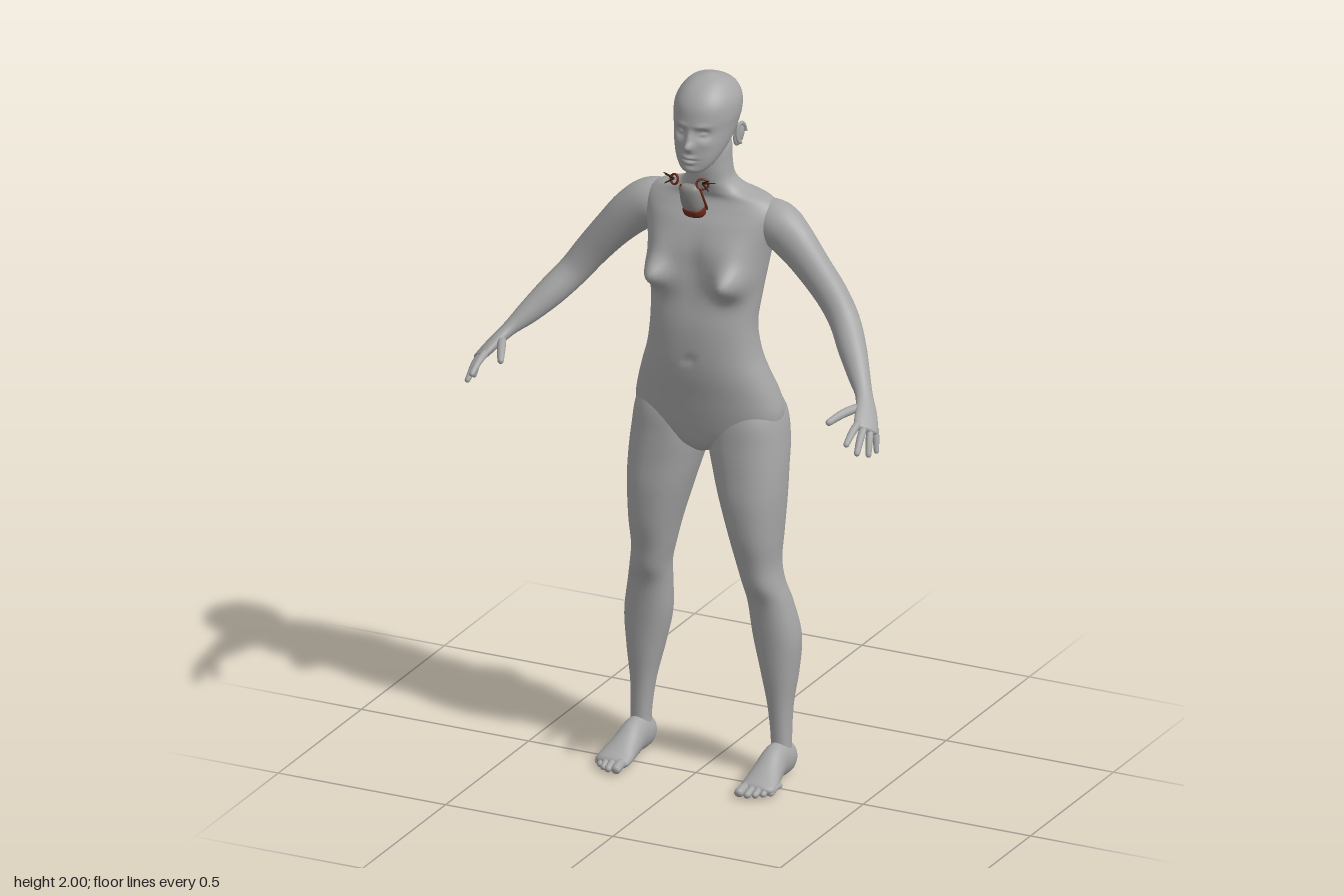
import * as THREE from 'three';

const material = (name, color) => Object.assign(new THREE.MeshStandardMaterial({ color }), { name });

// Catmull-Rom interpolation of rows of numbers, u in 0..1
function spline(rows, u) {
  const n = rows.length - 1;
  const f = Math.min(u * n, n - 1e-6);
  const i = Math.floor(f), t = f - i;
  const at = (k) => rows[Math.max(0, Math.min(n, k))];
  const [a, b, c, d] = [at(i - 1), at(i), at(i + 1), at(i + 2)];
  return b.map((v, k) => v + 0.5 * t * (c[k] - a[k]
    + t * (2 * a[k] - 5 * v + 4 * c[k] - d[k] + t * (3 * (v - c[k]) + d[k] - a[k]))));
}

// Closed skin over a grid of rings; point(u, angle) gives each vertex
function skin(point, rows, cols) {
  const pos = [], index = [];
  for (let i = 0; i <= rows; i++) {
    for (let j = 0; j < cols; j++) {
      pos.push(...point(i / rows, (j / cols) * Math.PI * 2));
      if (i === rows) continue;
      const a = i * cols + j, b = i * cols + ((j + 1) % cols);
      index.push(a, a + cols, b, b, a + cols, b + cols);
    }
  }
  const geo = new THREE.BufferGeometry();
  geo.setAttribute('position', new THREE.Float32BufferAttribute(pos, 3));
  geo.setIndex(index);
  geo.computeVertexNormals();
  return geo;
}

// Upright form: sections [y, xMin, xMax, zFront, zBack], bottom to top.
// Bumps [x, y, rx, ry, side, amount] swell the front (1) or back (-1) on both halves.
function loft(sections, bumps = [], rows = 60, cols = 40, power = 0.88) {
  const bend = (v) => Math.sign(v) * Math.abs(v) ** power;
  return skin((u, a) => {
    const [y, x0, x1, zf, zb] = spline(sections, u);
    const k = u === 0 || u === 1 ? 0 : 1;
    const x = (x0 + x1) / 2 + k * ((x1 - x0) / 2) * bend(Math.cos(a));
    let z = (zf + zb) / 2 + k * ((zf - zb) / 2) * bend(Math.sin(a));
    for (const [bx, by, rx, ry, side, amount] of bumps) {
      const w = Math.min(1, 2 * Math.max(0, side * Math.sin(a)));
      z += side * amount * w * Math.exp(-(((Math.abs(x) - bx) / rx) ** 2) - ((y - by) / ry) ** 2);
    }
    return [x, y, z];
  }, rows, cols);
}

// Limb along points [x, y, z, radiusAlongRef, radiusAcross], rounded at both ends
function sweep(points, ref, cap = 0.12, rows = 16, cols = 12) {
  const side = new THREE.Vector3(...ref);
  return skin((v, a) => {
    const u = (1 - Math.cos(Math.PI * v)) / 2;
    const [x, y, z, rw, rh] = spline(points, u);
    const p = spline(points, Math.max(0, u - 0.01)), q = spline(points, Math.min(1, u + 0.01));
    const t = new THREE.Vector3(q[0] - p[0], q[1] - p[1], q[2] - p[2]).normalize();
    const s = side.clone().addScaledVector(t, -side.dot(t)).normalize();
    const b = s.clone().cross(t);
    const d = Math.max(0, 1 - Math.min(u, 1 - u) / cap);
    const k = Math.sqrt(Math.max(0, 1 - d * d));
    const o = new THREE.Vector3(x, y, z)
      .addScaledVector(s, k * rw * Math.cos(a)).addScaledVector(b, k * rh * Math.sin(a));
    return [o.x, Math.max(0, o.y), o.z];
  }, rows, cols);
}

const even = (rows) => rows.map(([y, hw, zf, zb]) => [y, -hw, hw, zf, zb]);

export function createModel() {
  const skinGrey = material('skin grey', 0xa6a6a6);
  const toothGrey = material('tooth grey', 0x8c8a88);
  const gumRed = material('gum red', 0x6e2a1c);
  const lashBrown = material('lash brown', 0x2e1a14);
  const model = new THREE.Group();
  const add = (parent, name, geo, mat = skinGrey) => {
    const mesh = new THREE.Mesh(geo, mat);
    mesh.name = name;
    parent.add(mesh);
    return mesh;
  };

  // Torso and neck, with breasts, buttocks, spine, shoulder blades and navel
  add(model, 'torso', loft(even([
    [0.925, 0.02, -0.02, -0.1], [0.95, 0.1, 0.0, -0.16], [0.99, 0.195, 0.012, -0.185],
    [1.04, 0.212, 0.022, -0.197], [1.1, 0.2, 0.032, -0.188], [1.16, 0.18, 0.042, -0.168],
    [1.22, 0.161, 0.046, -0.155], [1.3, 0.151, 0.043, -0.145], [1.38, 0.157, 0.03, -0.162],
    [1.45, 0.166, 0.025, -0.182], [1.52, 0.176, 0.018, -0.2], [1.58, 0.19, -0.005, -0.2],
    [1.62, 0.195, -0.03, -0.19], [1.65, 0.165, -0.045, -0.178], [1.672, 0.1, -0.04, -0.162],
    [1.7, 0.068, -0.032, -0.15], [1.74, 0.06, -0.028, -0.143], [1.79, 0.058, -0.03, -0.142],
    [1.82, 0.05, -0.03, -0.14],
  ]), [
    [0.112, 1.44, 0.042, 0.042, 1, 0.066], [0.11, 1.5, 0.05, 0.05, 1, 0.015],
    [0.085, 1.045, 0.07, 0.07, -1, 0.045], [0, 1.03, 0.018, 0.07, -1, -0.035],
    [0, 1.4, 0.025, 0.16, -1, -0.013], [0.09, 1.56, 0.045, 0.07, -1, 0.01],
    [0, 1.21, 0.01, 0.012, 1, -0.008], [0, 1.48, 0.025, 0.08, 1, -0.008],
  ], 110, 72));

  // Head with brow, eyes, nose, lips and chin
  add(model, 'head', loft(even([
    [1.748, 0.018, 0.03, -0.005], [1.756, 0.034, 0.041, -0.02], [1.775, 0.052, 0.043, -0.055],
    [1.8, 0.065, 0.044, -0.095], [1.83, 0.075, 0.042, -0.137], [1.865, 0.082, 0.037, -0.165],
    [1.9, 0.087, 0.034, -0.18], [1.935, 0.084, 0.025, -0.18], [1.965, 0.069, 0.003, -0.163],
    [1.988, 0.044, -0.03, -0.125], [2.0, 0.008, -0.065, -0.08],
  ]), [
    [0, 1.828, 0.011, 0.013, 1, 0.02], [0, 1.85, 0.009, 0.018, 1, 0.01],
    [0.034, 1.862, 0.016, 0.013, 1, -0.013], [0.034, 1.861, 0.009, 0.006, 1, 0.008],
    [0.03, 1.884, 0.022, 0.008, 1, 0.004], [0, 1.797, 0.018, 0.006, 1, 0.007],
    [0, 1.783, 0.015, 0.006, 1, 0.007], [0, 1.79, 0.02, 0.0025, 1, -0.004],
    [0, 1.763, 0.018, 0.01, 1, 0.005], [0.045, 1.835, 0.016, 0.015, 1, 0.003],
  ], 130, 96, 0.95));

  const fingers = [
    ['indexFinger', [0.557, 1.168, 0.14], [0.56, 1.13, 0.228], 0.0105],
    ['middleFinger', [0.571, 1.157, 0.138], [0.583, 1.1, 0.208], 0.0105],
    ['ringFinger', [0.583, 1.15, 0.125], [0.6, 1.085, 0.17], 0.01],
    ['littleFinger', [0.589, 1.147, 0.105], [0.602, 1.08, 0.125], 0.009],
    ['thumb', [0.535, 1.19, 0.09], [0.487, 1.17, 0.195], 0.012],
  ];
  const toes = [[0.183, 0.12, 0.0135], [0.207, 0.118, 0.01], [0.226, 0.108, 0.0095],
    [0.243, 0.093, 0.009], [0.258, 0.076, 0.0085]];
  const across = [0.037, -0.02, -0.045];

  for (const mirror of [1, -1]) {
    const half = new THREE.Group();
    half.name = mirror > 0 ? 'leftSide' : 'rightSide';
    half.scale.x = mirror;
    model.add(half);

    // Leg
    add(half, 'leg', loft([
      [0.03, 0.18, 0.238, -0.06, -0.125], [0.1, 0.183, 0.236, -0.062, -0.125],
      [0.2, 0.172, 0.238, -0.058, -0.137], [0.3, 0.15, 0.25, -0.048, -0.16],
      [0.4, 0.128, 0.256, -0.04, -0.167], [0.5, 0.12, 0.238, -0.028, -0.148],
      [0.56, 0.114, 0.222, -0.006, -0.135], [0.62, 0.1, 0.214, 0.005, -0.135],
      [0.7, 0.08, 0.219, 0.022, -0.15], [0.8, 0.05, 0.225, 0.028, -0.166],
      [0.88, 0.026, 0.226, 0.022, -0.178], [0.96, 0.006, 0.222, 0.015, -0.2],
      [1.04, 0.015, 0.21, 0.005, -0.198], [1.12, 0.05, 0.175, -0.03, -0.15],
    ], [], 80, 40));

    // Foot and toes
    add(half, 'foot', sweep([
      [0.21, 0.035, -0.142, 0.028, 0.036], [0.21, 0.046, -0.1, 0.034, 0.048],
      [0.21, 0.052, -0.055, 0.036, 0.05], [0.212, 0.038, -0.005, 0.042, 0.038],
      [0.216, 0.023, 0.045, 0.05, 0.024], [0.217, 0.016, 0.085, 0.048, 0.016],
    ], [1, 0, 0], 0.1, 30, 28));
    for (const [x, z, r] of toes) {
      add(half, 'toe', sweep([[x + 0.004, 0.018, z - 0.06, r, r], [x + 0.002, 0.02, z - 0.03, r, r],
        [x, r, z, r, r * 0.9]], [1, 0, 0], 0.2));
    }

    // Arm running into the palm
    add(half, 'arm', sweep([
      [0.12, 1.595, -0.12, 0.045, 0.05], [0.185, 1.583, -0.115, 0.06, 0.064],
      [0.24, 1.545, -0.106, 0.053, 0.062], [0.3, 1.483, -0.1, 0.046, 0.053],
      [0.36, 1.412, -0.096, 0.043, 0.047], [0.405, 1.352, -0.08, 0.041, 0.043],
      [0.45, 1.298, -0.035, 0.038, 0.04], [0.495, 1.247, 0.015, 0.03, 0.031],
      [0.53, 1.21, 0.055, 0.025, 0.02], [0.555, 1.18, 0.093, 0.032, 0.017],
      [0.572, 1.157, 0.128, 0.036, 0.014], [0.58, 1.147, 0.145, 0.034, 0.011],
    ], across, 0.05, 64, 28));

    // Fingers, slightly arched
    for (const [name, a, b, r] of fingers) {
      const mid = a.map((v, k) => (v + b[k]) / 2 + (k === 1 ? 0.006 : 0));
      add(half, name, sweep([[...a, r, r], [...mid, r, r * 0.95], [...b, r * 0.75, r * 0.7]], across, 0.12));
    }

    // Ear
    const ear = add(half, 'ear', new THREE.SphereGeometry(1, 20, 14));
    ear.scale.set(0.008, 0.034, 0.019);
    ear.position.set(0.09, 1.838, -0.078);
    ear.rotation.set(-0.2, -0.35, -0.12);
    const earRim = add(half, 'earRim', new THREE.TorusGeometry(0.017, 0.004, 8, 20, Math.PI * 1.5));
    earRim.scale.y = 1.6;
    earRim.position.set(0.096, 1.842, -0.08);
    earRim.rotation.set(0, Math.PI / 2 - 0.35, 0);

    // Loose lash ring with corner strands beside the jaw piece
    const ring = add(half, 'lashRing', new THREE.TorusGeometry(0.016, 0.0035, 6, 20), gumRed);
    ring.position.set(0.042, 1.728, 0.045);
    ring.rotation.set(-0.3, 0.5, 0);
    ring.scale.y = 0.85;
    for (const [dx, dy, dz] of [[0.034, 0.002, -0.012], [0.026, 0.018, 0.014], [0.024, -0.014, 0.012]]) {
      add(half, 'lash', sweep([[0.042, 1.73, 0.045, 0.003, 0.003],
        [0.042 + dx, 1.73 + dy, 0.045 + dz, 0.0015, 0.0015]], [0, 0.3, 1], 0.1, 6, 6), lashBrown);
    }
  }

  // Loose jaw piece under the chin: tooth block, gum base and rim
  add(model, 'toothBlock', loft(even([
    [1.625, 0.022, 0.03, -0.02], [1.65, 0.029, 0.046, -0.016], [1.68, 0.031, 0.054, -0.002],
    [1.705, 0.028, 0.054, 0.015], [1.717, 0.018, 0.046, 0.03],
  ]), [], 16, 24), toothGrey);
  add(model, 'gumBase', loft(even([
    [1.612, 0.02, 0.015, -0.024], [1.622, 0.028, 0.034, -0.025], [1.638, 0.03, 0.043, -0.022],
    [1.645, 0.026, 0.04, -0.018],
  ]), [], 10, 24), gumRed);
  for (const side of [1, -1]) {
    add(model, 'gumEdge', sweep([[side * 0.027, 1.712, 0.035, 0.004, 0.004],
      [side * 0.033, 1.675, 0.02, 0.003, 0.003], [side * 0.027, 1.63, -0.015, 0.004, 0.004]],
    [1, 0, 0], 0.1, 10, 8), gumRed);
  }
  return model;
}
